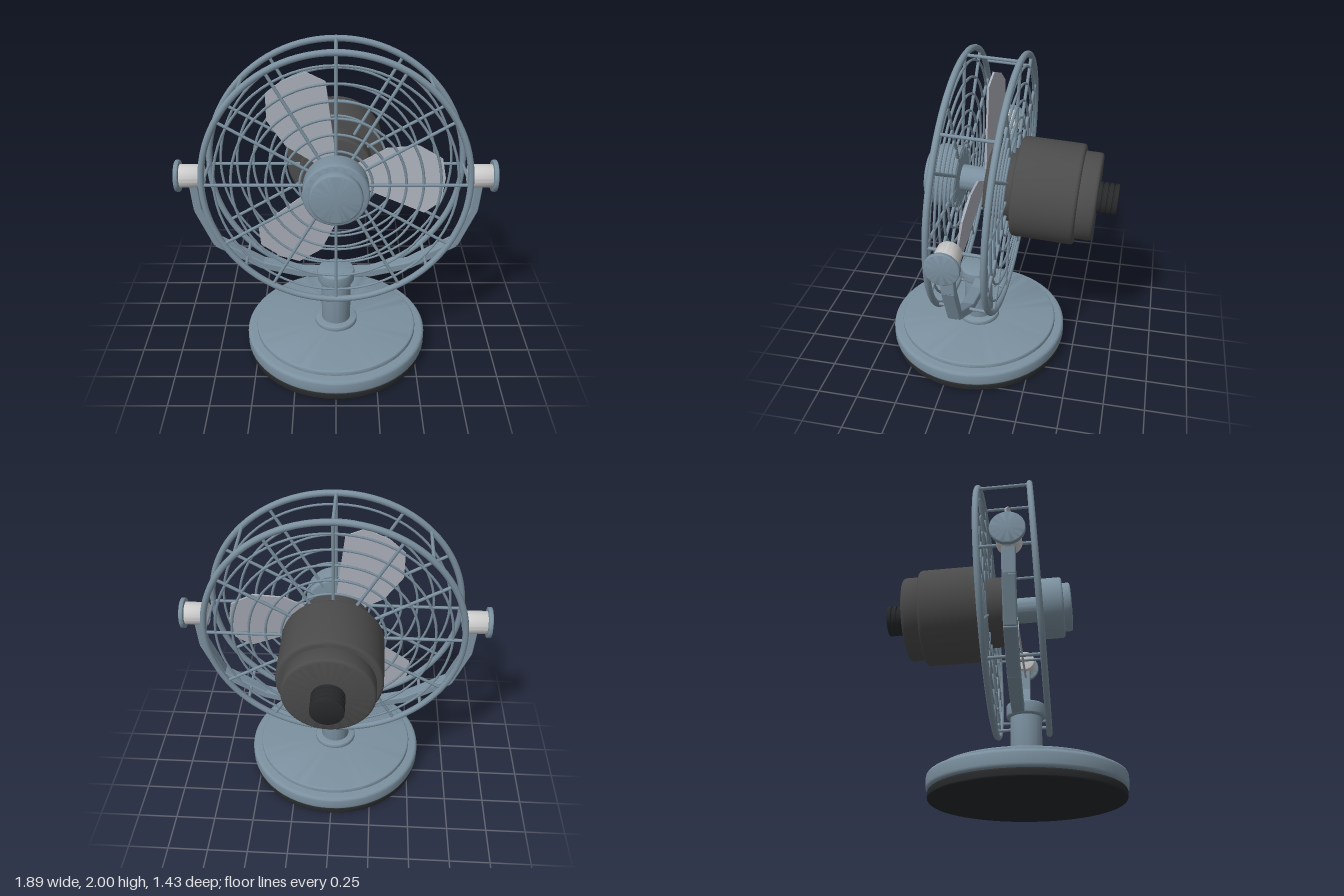
import * as THREE from 'three';
import { toCreasedNormals } from 'three/addons/utils/BufferGeometryUtils.js';
import { RoundedBoxGeometry } from 'three/addons/geometries/RoundedBoxGeometry.js';

const paint = (color) => new THREE.MeshStandardMaterial({ color });
const steel = paint(0x7b909f);
const motorGrey = paint(0x4b4b4c);
const black = paint(0x26282a);
const bladeGrey = paint(0xa9adb8);
const pale = paint(0xcfcfcf);

function add(parent, name, geometry, material) {
  const mesh = new THREE.Mesh(geometry, material);
  mesh.name = name;
  parent.add(mesh);
  return mesh;
}

// Solid of revolution about y with crisp creases
function turned(points, segments = 64) {
  const profile = points.map(([r, y]) => new THREE.Vector2(r, y));
  return toCreasedNormals(new THREE.LatheGeometry(profile, segments), 0.6);
}

// Disc from y0 to y1 with rounded rims
function disc(r, y0, y1, bevel = 0.012) {
  const points = [[0, y0]];
  for (const [cy, start] of [[y0 + bevel, -Math.PI / 2], [y1 - bevel, 0]]) {
    for (let i = 0; i <= 4; i++) {
      const a = start + (i / 4) * Math.PI / 2;
      points.push([r - bevel + bevel * Math.cos(a), cy + bevel * Math.sin(a)]);
    }
  }
  points.push([0, y1]);
  return turned(points);
}

// Same disc, lying along z
const discZ = (r, z0, z1, bevel) => disc(r, z0, z1, bevel).rotateX(Math.PI / 2);

// Round bar between two points
function bar(parent, name, a, b, r) {
  const mesh = add(parent, name, new THREE.CylinderGeometry(r, r, a.distanceTo(b), 8), steel);
  mesh.position.copy(a).add(b).multiplyScalar(0.5);
  mesh.quaternion.setFromUnitVectors(new THREE.Vector3(0, 1, 0), b.clone().sub(a).normalize());
}

const polar = (r, a, z) => new THREE.Vector3(r * Math.cos(a), r * Math.sin(a), z);

function createStand() {
  const stand = new THREE.Group();
  stand.name = 'stand';
  stand.position.z = 0.143;
  add(stand, 'rubberFoot', disc(0.56, 0, 0.05), black);
  add(stand, 'base', disc(0.57, 0.048, 0.145, 0.022), steel);
  add(stand, 'baseTop', disc(0.51, 0.13, 0.175), steel);
  add(stand, 'postFlange', disc(0.135, 0.165, 0.205), steel);
  add(stand, 'post', disc(0.092, 0.19, 0.52), steel);
  add(stand, 'postCollar', disc(0.115, 0.49, 0.57), steel);
  return stand;
}

// Segmented yoke carrying the head, with a pivot knob on each side
function createYoke() {
  const yoke = new THREE.Group();
  yoke.name = 'yoke';
  yoke.position.z = 0.103;
  const path = [[0, 0.515], [0.22, 0.525], [0.46, 0.585], [0.73, 0.745], [0.83, 0.985], [0.845, 1.16]];
  for (const side of [-1, 1]) {
    for (let i = 0; i < path.length - 1; i++) {
      const [x0, y0] = path[i];
      const [x1, y1] = path[i + 1];
      const length = Math.hypot(x1 - x0, y1 - y0) + 0.012;
      const arm = add(yoke, 'yokeSegment', new RoundedBoxGeometry(length, 0.05, 0.075, 2, 0.008), steel);
      arm.position.set(side * (x0 + x1) / 2, (y0 + y1) / 2, 0);
      arm.rotation.z = side * Math.atan2(y1 - y0, x1 - x0);
    }
    const knob = new THREE.Group();
    knob.name = side > 0 ? 'leftKnob' : 'rightKnob';
    knob.position.y = 1.2;
    knob.rotation.z = -side * Math.PI / 2;
    add(knob, 'knobShaft', disc(0.07, 0.78, 0.93, 0.004), pale);
    add(knob, 'knobCap', disc(0.095, 0.92, 0.947, 0.006), steel);
    yoke.add(knob);
  }
  return yoke;
}

function createCage() {
  const cage = new THREE.Group();
  cage.name = 'cage';
  const front = 0.137, back = -0.177, rim = 0.775;
  for (const z of [front, back]) {
    add(cage, 'cageRim', new THREE.TorusGeometry(rim, 0.019, 10, 96), steel).position.z = z;
    for (const r of [0.21, 0.31, 0.405, 0.505, 0.605, 0.705]) {
      add(cage, 'cageRing', new THREE.TorusGeometry(r, 0.008, 6, 72), steel).position.z = z;
    }
    for (let i = 0; i < 12; i++) {
      const a = i * Math.PI / 6;
      bar(cage, 'cageSpoke', polar(0.15, a, z), polar(rim, a, z), 0.01);
    }
  }
  // Bars joining the two grilles
  for (let i = 0; i < 8; i++) {
    const a = i * Math.PI / 4;
    bar(cage, 'cageLink', polar(rim, a, back), polar(rim, a, front), 0.01);
  }
  return cage;
}

function createBlades() {
  const blades = new THREE.Group();
  blades.name = 'blades';
  blades.position.z = -0.012;
  const outline = [
    [0.05, -0.03], [0.2, -0.1], [0.53, -0.24], [0.63, -0.17], [0.652, -0.02],
    [0.63, 0.1], [0.49, 0.18], [0.3, 0.165], [0.2, 0.11], [0.05, 0.03],
  ];
  const shape = new THREE.Shape(outline.map(([x, y]) => new THREE.Vector2(x, y)));
  const geometry = new THREE.ExtrudeGeometry(shape, { depth: 0.012, bevelEnabled: false });
  geometry.translate(0, 0, -0.006).rotateX(-0.09);
  for (let i = 0; i < 3; i++) {
    add(blades, 'blade', geometry, bladeGrey).rotation.z = i * Math.PI * 2 / 3;
  }
  add(blades, 'bladeHub', discZ(0.08, -0.06, 0.16), steel);
  return blades;
}

function createMotor() {
  const motor = new THREE.Group();
  motor.name = 'motor';
  add(motor, 'motorNeck', discZ(0.22, -0.24, -0.04, 0.015), motorGrey);
  add(motor, 'motorBody', discZ(0.302, -0.59, -0.21, 0.022), motorGrey);
  add(motor, 'motorRearCap', discZ(0.263, -0.695, -0.57, 0.02), motorGrey);
  // Ribbed rear knob
  const ribs = [[0, -0.815], [0.085, -0.815]];
  for (let i = 0; i < 4; i++) {
    const z = -0.81 + i * 0.032;
    ribs.push([0.095, z], [0.095, z + 0.022], [0.085, z + 0.025], [0.085, z + 0.029]);
  }
  ribs.push([0.085, -0.68], [0, -0.68]);
  add(motor, 'rearKnob', turned(ribs, 40).rotateX(Math.PI / 2), black);
  return motor;
}

export function createModel() {
  const model = new THREE.Group();
  model.name = 'deskFan';
  model.add(createStand(), createYoke());

  // Head, tipped slightly upward on its pivot
  const head = new THREE.Group();
  head.name = 'head';
  head.position.set(0, 1.2, 0.1);
  head.rotation.x = -0.051;
  head.add(createCage(), createBlades(), createMotor());
  add(head, 'frontHub', discZ(0.19, 0.13, 0.285, 0.016), steel);
  add(head, 'frontHubCap', discZ(0.152, 0.27, 0.335, 0.014), steel);
  model.add(head);
  return model;
}
